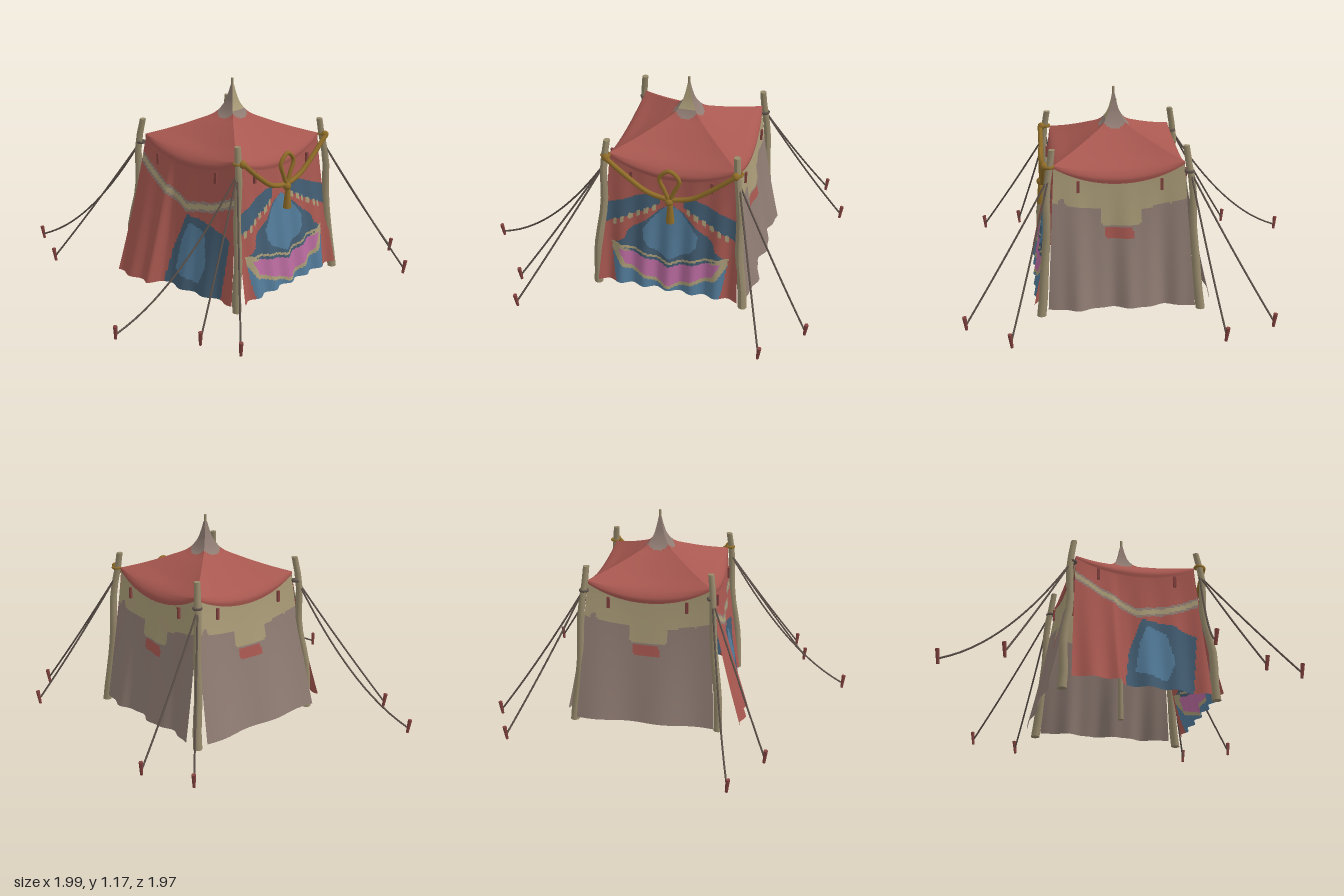
import * as THREE from 'three';

const mat = (name, color, side = THREE.DoubleSide) => {
  const m = new THREE.MeshStandardMaterial({ color, side });
  m.name = name;
  return m;
};
const V = (x, y, z) => new THREE.Vector3(x, y, z);

// Cloth sheet: grid from a surface rule, each cell coloured by a paint rule
function cloth(name, nu, nv, point, paint, mats) {
  const pos = [], lists = mats.map(() => []);
  for (let j = 0; j <= nv; j++)
    for (let i = 0; i <= nu; i++) pos.push(...point((i / nu) * 2 - 1, j / nv));
  for (let j = 0; j < nv; j++)
    for (let i = 0; i < nu; i++) {
      const a = j * (nu + 1) + i, b = a + 1, d = a + nu + 1, c = d + 1;
      const mid = [0, 1, 2].map(k => (pos[a * 3 + k] + pos[c * 3 + k]) / 2);
      lists[mats.indexOf(paint(...mid))].push(a, b, c, a, c, d);
    }
  const geo = new THREE.BufferGeometry();
  geo.setAttribute('position', new THREE.Float32BufferAttribute(pos, 3));
  geo.setIndex(lists.flat());
  let start = 0;
  lists.forEach((l, k) => { if (l.length) geo.addGroup(start, l.length, k); start += l.length; });
  geo.computeVertexNormals();
  const mesh = new THREE.Mesh(geo, mats);
  mesh.name = name;
  return mesh;
}

// Point in polygon
function inside(x, y, poly) {
  let hit = false;
  for (let i = 0, j = poly.length - 1; i < poly.length; j = i++) {
    const [xi, yi] = poly[i], [xj, yj] = poly[j];
    if ((yi > y) !== (yj > y) && x < ((xj - xi) * (y - yi)) / (yj - yi) + xi) hit = !hit;
  }
  return hit;
}
// Later regions cover earlier ones
const painter = (base, regions, mirror) => (x, y) => {
  let m = base;
  for (const [c, poly] of regions) if (inside(mirror ? Math.abs(x) : x, y, poly)) m = c;
  return m;
};

export function createModel() {
  const red = mat('red cloth', 0xa85850), taupe = mat('taupe cloth', 0x8f7c73);
  const tan = mat('tan cloth', 0xa89a76), blue = mat('blue cloth', 0x527a98);
  const navy = mat('navy cloth', 0x425d72), pink = mat('pink cloth', 0xb86a9e);
  const gold = mat('gold cord', 0x8f6c28, THREE.FrontSide);
  const cord = mat('dark rope', 0x5e524b, THREE.FrontSide);
  const pegRed = mat('peg red', 0x84433f, THREE.FrontSide);
  const wood = mat('pole wood', 0x978a6c, THREE.FrontSide);
  const all = [red, taupe, tan, blue, navy, pink];

  const model = new THREE.Group();
  model.name = 'tent';
  const tent = new THREE.Group();
  tent.name = 'pavilion';
  tent.position.set(0.125, 0, 0.127);
  model.add(tent);
  const add = (parent, name, geo, m, p = V(0, 0, 0)) => {
    const mesh = new THREE.Mesh(geo, m);
    mesh.name = name;
    mesh.position.copy(p);
    parent.add(mesh);
    return mesh;
  };
  const tube = (pts, r, closed = false, n = 40, sides = 8) =>
    new THREE.TubeGeometry(new THREE.CatmullRomCurve3(pts, closed), n, r, sides, closed);

  // Roof: four concave panels with a sagging hem; rings are half width, height, sag
  const ring = new THREE.CatmullRomCurve3([
    [0.372, 0.825, 0.092], [0.374, 0.832, 0.07], [0.348, 0.842, 0.045], [0.25, 0.878, 0.03],
    [0.14, 0.928, 0.012], [0.07, 0.968, 0.004], [0.035, 1.02, 0], [0.018, 1.075, 0], [0.007, 1.13, 0],
  ].map(p => V(...p)));
  const roofPoint = (u, v) => {
    const p = ring.getPoint(v), h = p.x - Math.max(0, p.x - 0.352) * u * u;
    return [u * h, p.y - p.z * (1 - u * u), h];
  };
  for (let k = 0; k < 4; k++) {
    const paint = (x, y, z) =>
      Math.hypot(x, z) > 0.085 ? red : k === 0 && y > 0.99 ? tan : taupe;
    const panel = cloth('roofPanel', 24, 64, roofPoint, paint, all);
    panel.rotation.y = (k * Math.PI) / 2;
    tent.add(panel);
    // Hanging tabs under the hem
    const tabs = new THREE.Group();
    tabs.name = 'hemTabs';
    tabs.rotation.y = (k * Math.PI) / 2;
    for (const s of [-1, 1]) add(tabs, 'tab', new THREE.BoxGeometry(0.016, 0.065, 0.012), pegRed, V(s * 0.225, 0.725, 0.376));
    tent.add(tabs);
  }

  // Walls: flared, rippled sheets hung under the roof
  function wall(name, angle, n, low, flare, ripple, paint, bulge = () => 0) {
    const mesh = cloth(name, n, n, (u, v) => {
      const top = 0.765 + 0.06 * u * u, y = low + (top - low) * v, t = 1 - v;
      const x = u * (0.352 + 0.05 * t);
      const out = 0.35 + flare * Math.pow(t, 1.25) + t * ripple(x) + bulge(x, t);
      return [x, y, out];
    }, paint, all);
    mesh.rotation.y = angle;
    tent.add(mesh);
  }

  // Front: swags, parted curtains and a chevron banner, mirrored about the middle
  const front = [
    [navy, [[0, 0.58], [0.07, 0.53], [0.14, 0.46], [0.24, 0.385], [0.26, 0.33], [0.32, 0.29], [0.32, 0.2], [0, 0.2]]],
    [blue, [[0, 0.58], [0.05, 0.54], [0.11, 0.47], [0.155, 0.41], [0.155, 0.35], [0.12, 0.3], [0, 0.24]]],
    [blue, [[0, 0.2], [0.33, 0.25], [0.315, 0.14], [0.29, 0], [0, 0]]],
    [tan, [[0, 0.225], [0.1, 0.25], [0.2, 0.275], [0.335, 0.3], [0.33, 0.25], [0.27, 0.155], [0.12, 0.1], [0, 0.06]]],
    [navy, [[0, 0.21], [0.2, 0.262], [0.26, 0.27], [0.2, 0.24], [0, 0.19]]],
    [pink, [[0, 0.195], [0.2, 0.245], [0.295, 0.262], [0.245, 0.17], [0.1, 0.115], [0, 0.078]]],
    [navy, [[0.06, 0.625], [0.12, 0.63], [0.22, 0.59], [0.42, 0.51], [0.42, 0.39], [0.2, 0.49], [0.07, 0.565]]],
  ];
  for (let k = 0; k < 6; k++) {
    const x = 0.085 + 0.045 * k, y = 0.56 - (x - 0.07) * 0.53;
    front.push([tan, [[x, y + 0.012], [x + 0.022, y], [x + 0.022, y - 0.036], [x, y - 0.022]]]);
  }
  wall('frontWall', 0, 110, 0.05, 0.115, x => 0.014 * Math.cos(x * 46), painter(red, front, true));

  // Right and back: plain sheets with a ragged tan upper part and a red patch
  const plain = painter(taupe, [
    [tan, [[-0.5, 0.9], [0.5, 0.9], [0.5, 0.66], [0.37, 0.635], [0.28, 0.61], [0.2, 0.6], [0.12, 0.58], [0.11, 0.5],
      [-0.1, 0.495], [-0.105, 0.59], [-0.2, 0.6], [-0.29, 0.615], [-0.31, 0.66], [-0.34, 0.63], [-0.5, 0.66]]],
    [red, [[-0.085, 0.485], [0.065, 0.485], [0.075, 0.43], [0.05, 0.42], [-0.07, 0.42], [-0.085, 0.44]]],
  ]);
  wall('rightWall', Math.PI / 2, 70, 0.04, 0.11, x => 0.018 * Math.sin(x * 20) + 0.006 * Math.sin(x * 47), plain);
  wall('backWall', Math.PI, 70, 0.04, 0.145, x => 0.01 * Math.sin(x * 16), plain);

  // Left: red curtain pushed outward at the back, blue entrance towards the front
  const left = painter(red, [
    [navy, [[-0.1, 0], [-0.06, 0.25], [0.02, 0.46], [0.2, 0.44], [0.34, 0.38], [0.3, 0]]],
    [blue, [[-0.03, 0.12], [0, 0.3], [0.05, 0.42], [0.16, 0.38], [0.2, 0.2], [0.15, 0.08]]],
    [taupe, [[-0.45, 0.8], [-0.2, 0.63], [0, 0.53], [0.2, 0.57], [0.45, 0.68], [0.45, 0.62], [0.2, 0.51], [0, 0.47], [-0.2, 0.57], [-0.45, 0.74]]],
    [tan, [[-0.45, 0.785], [-0.2, 0.615], [0, 0.515], [0.2, 0.555], [0.45, 0.665], [0.45, 0.635], [0.2, 0.525], [0, 0.485], [-0.2, 0.585], [-0.45, 0.755]]],
  ]);
  wall('leftWall', -Math.PI / 2, 80, 0.028, 0.115, x => 0.014 * Math.sin(x * 38), left,
    (x, t) => t * (0.085 * (1 - THREE.MathUtils.smoothstep(x, -0.15, -0.1)) - 0.04 * THREE.MathUtils.smoothstep(x, 0.05, 0.35)));

  // Crooked corner poles leaning outward to the ground
  for (const sx of [-1, 1]) for (const sz of [-1, 1]) {
    const geo = new THREE.CylinderGeometry(0.018, 0.026, 0.93, 9, 10);
    const p = geo.attributes.position;
    for (let i = 0; i < p.count; i++) {
      const y = p.getY(i) + 0.465, f = 1 - y / 0.93;
      const d = 0.357 + 0.066 * f + 0.006 * Math.sin(y * 11 + sx);
      p.setXYZ(i, p.getX(i) + sx * d, y, p.getZ(i) + sz * (d + 0.012 - 0.005 * Math.sin(y * 15)));
    }
    geo.computeVertexNormals();
    add(tent, 'cornerPole', geo, wood);
    add(tent, 'poleLashing', new THREE.TorusGeometry(0.021, 0.008, 6, 14), sz > 0 ? gold : cord,
      V(sx * 0.365, sz > 0 ? 0.84 : 0.79, sz * 0.375)).rotation.x = Math.PI / 2;
  }
  // Centre pole and its tip above the roof
  add(tent, 'centrePole', new THREE.CylinderGeometry(0.007, 0.016, 1.1, 8), wood, V(0.008, 0.55, -0.008));
  add(tent, 'poleTip', new THREE.CylinderGeometry(0.007, 0.008, 0.09, 8), wood, V(0, 1.125, 0));

  // Gold garland with a loop, knot and tassel over the entrance
  const garland = new THREE.Group();
  garland.name = 'garland';
  tent.add(garland);
  const half = [[0.355, 0.84], [0.23, 0.735], [0.13, 0.665], [0.06, 0.642]];
  const strand = [...half.map(([x, y]) => V(-x, y, 0.408)), V(0, 0.637, 0.412),
    ...half.slice().reverse().map(([x, y]) => V(x, y, 0.408))];
  add(garland, 'strand', tube(strand, 0.014, false, 60), gold);
  add(garland, 'loop', tube([[0, 0.645], [0.03, 0.7], [0.054, 0.77], [0, 0.82], [-0.054, 0.77], [-0.03, 0.7]]
    .map(([x, y]) => V(x, y, 0.415)), 0.012, true, 48), gold);
  add(garland, 'knot', new THREE.SphereGeometry(0.024, 12, 8), gold, V(0, 0.625, 0.418));
  add(garland, 'tassel', new THREE.CylinderGeometry(0.014, 0.024, 0.11, 10), gold, V(0.006, 0.55, 0.42));
  for (const s of [-1, 1]) add(garland, 'endKnot', new THREE.SphereGeometry(0.022, 10, 8), gold, V(s * 0.355, 0.84, 0.4));

  // Guy ropes and pegs: peg x, peg z, slack
  const pegs = [[-0.44, -0.97, 0.11], [-0.6, -0.65, 0.01], [0.855, -0.66, 0.015], [0.98, -0.38, 0.02], [-0.98, 0.33, 0.11],
    [-0.72, 0.69, 0.01], [-0.655, 0.91, 0.01], [0.93, 0.73, 0.015], [0.72, 0.97, 0.01]];
  for (const [x, z, slack] of pegs) {
    const a = V(x > 0.125 ? 0.495 : -0.245, 0.785, z > 0.125 ? 0.505 : -0.255), b = V(x, 0.05, z);
    const pts = [];
    for (let i = 0; i <= 8; i++) {
      const p = a.clone().lerp(b, i / 8);
      p.y -= slack * 4 * (i / 8) * (1 - i / 8);
      pts.push(p);
    }
    add(model, 'guyRope', tube(pts, 0.0055, false, 16, 5), cord);
    const peg = add(model, 'peg', new THREE.CylinderGeometry(0.012, 0.008, 0.08, 7), pegRed, V(x, 0.063, z));
    peg.rotation.set(z > 0 ? 0.1 : -0.1, 0, x > 0 ? -0.1 : 0.1);
  }
  return model;
}
